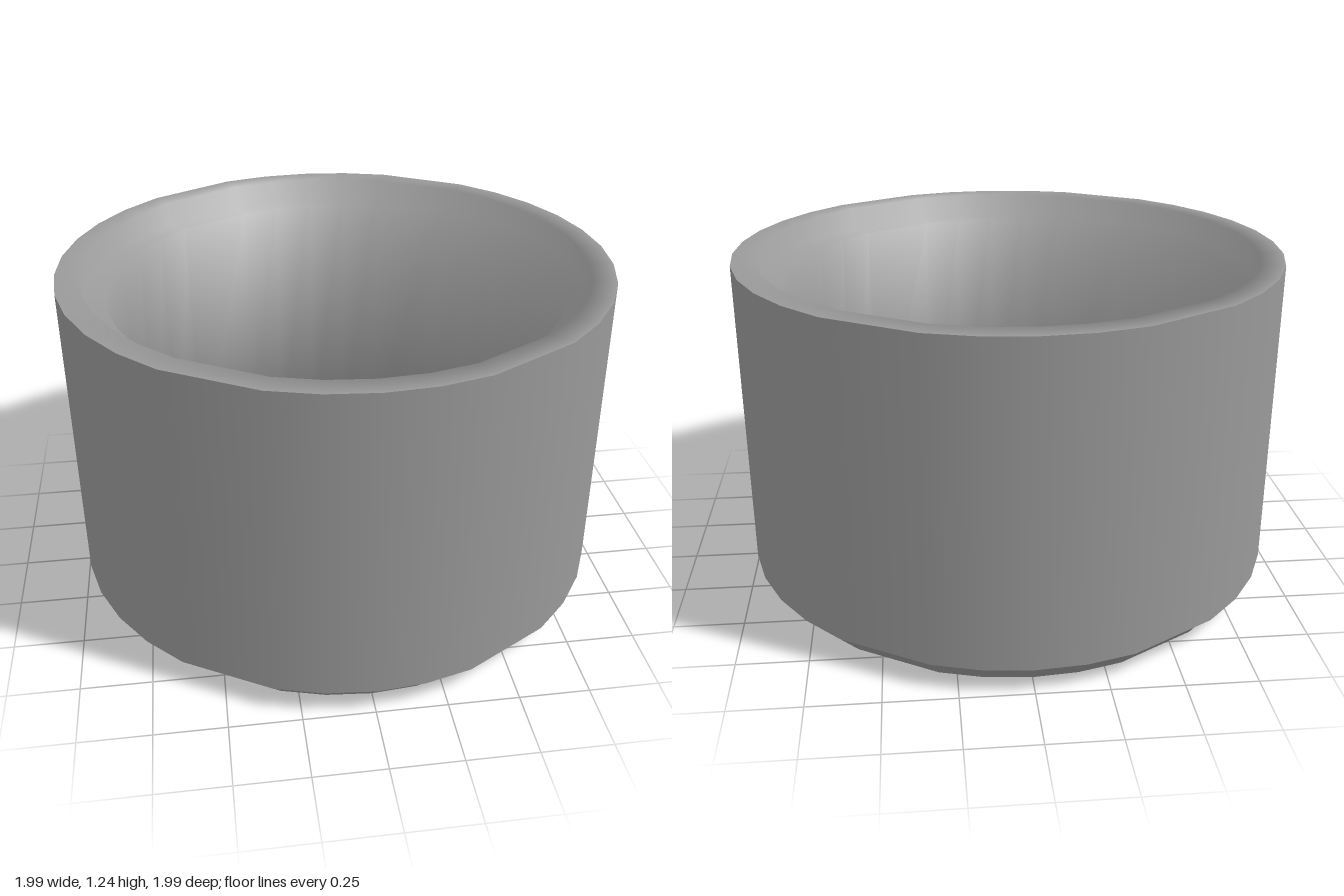
import * as THREE from 'three';

// Facet angles of one quadrant in degrees, mirrored to a full turn
function ringAngles() {
  const quarter = [0, 10, 20, 40, 50, 60, 70, 80];
  const half = [...quarter, 90, ...quarter.slice(1).reverse().map(a => 180 - a)];
  return [...half, ...half.map(a => a + 180)].map(THREE.MathUtils.degToRad);
}

// Sweeps an open [radius, height] profile round y. Each profile point is shaded
// with the mean normal of the segments beside it, so only the ends stay crisp.
function revolve(points) {
  const profile = points.map(p => new THREE.Vector2(...p));
  const sides = profile.slice(1).map((p, i) => {
    const d = p.clone().sub(profile[i]).normalize();
    return new THREE.Vector2(d.y, -d.x);
  });
  const slopes = profile.map((_, i) => {
    const before = sides[Math.max(i - 1, 0)];
    const after = sides[Math.min(i, sides.length - 1)];
    return before.clone().add(after).normalize();
  });

  const angles = ringAngles();
  const n = profile.length, positions = [], normals = [], index = [];
  angles.forEach((a, i) => {
    const next = (i + 1) % angles.length;
    const s = Math.sin(a), c = Math.cos(a);
    profile.forEach((p, j) => {
      positions.push(p.x * s, p.y, p.x * c);
      normals.push(slopes[j].x * s, slopes[j].y, slopes[j].x * c);
      if (j === n - 1) return;
      const p0 = i * n + j, p1 = next * n + j;
      index.push(p0, p1, p1 + 1, p0, p1 + 1, p0 + 1);
    });
  });
  const geometry = new THREE.BufferGeometry();
  geometry.setAttribute('position', new THREE.Float32BufferAttribute(positions, 3));
  geometry.setAttribute('normal', new THREE.Float32BufferAttribute(normals, 3));
  geometry.setIndex(index);
  return geometry;
}

export function createModel() {
  const group = new THREE.Group();
  group.name = 'stackingRing';
  const material = new THREE.MeshStandardMaterial({ color: 0x999999 });

  const outer = 0.996, step = 0.91, bore = 0.825;
  const height = 1.235, lip = 0.09;

  const parts = {
    outerWall: [[outer, lip], [outer, height]],
    // Top rim, recess, ledge, bore, lip and shoulder as one soft-shaded surface
    liner: [
      [outer, height], [step, height],
      [step, height - lip], [bore, height - lip],
      [bore, 0], [step, 0],
      [step, lip], [outer, lip],
    ],
  };
  for (const [name, profile] of Object.entries(parts)) {
    const mesh = new THREE.Mesh(revolve(profile), material);
    mesh.name = name;
    group.add(mesh);
  }
  return group;
}
